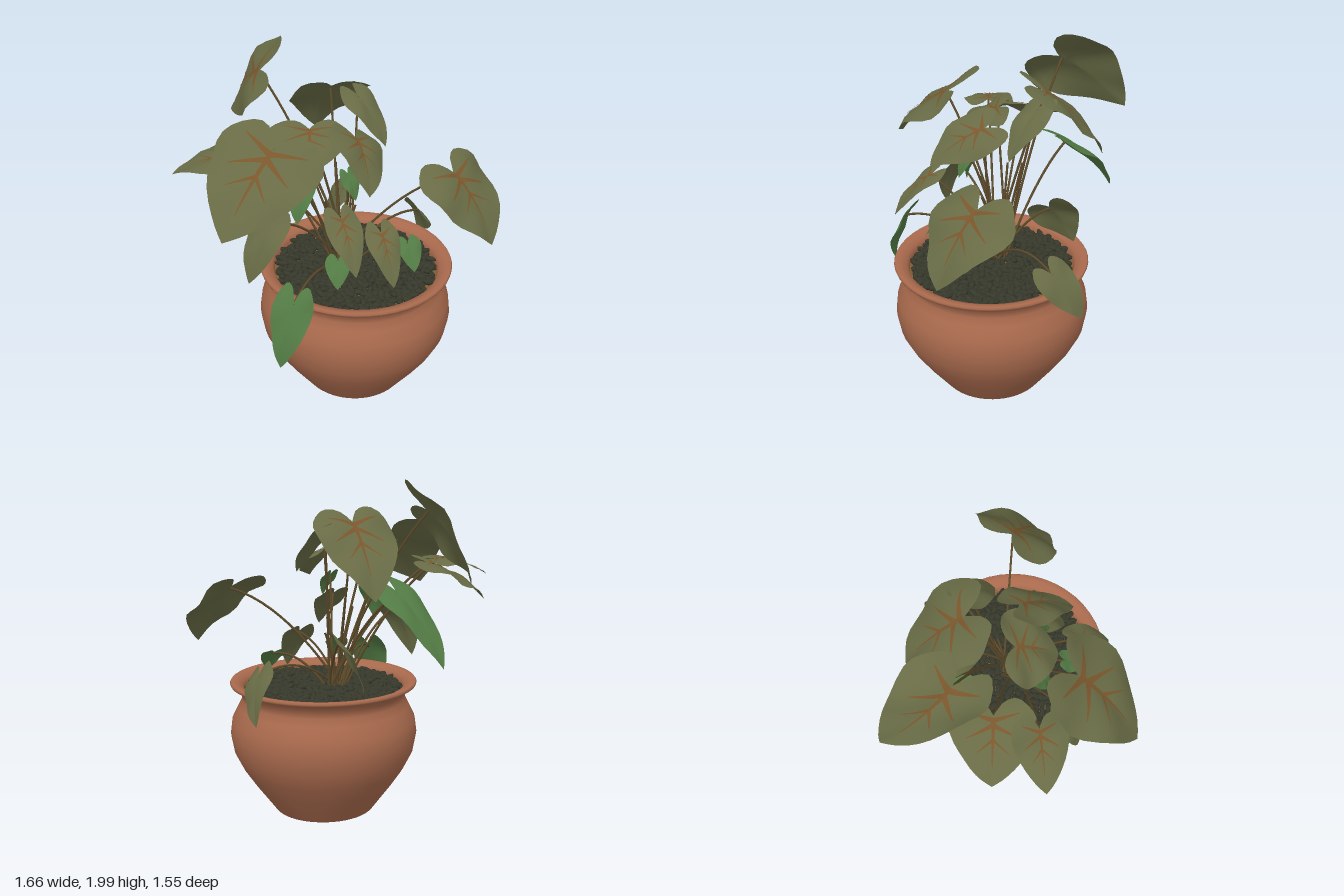
import * as THREE from 'three';
import { mergeGeometries } from 'three/addons/utils/BufferGeometryUtils.js';

const mat = (name, color, side = THREE.FrontSide) => {
  const m = new THREE.MeshStandardMaterial({ color, side });
  m.name = name;
  return m;
};

// Half outline of a heart-shaped leaf: (lateral, along), from notch to tip
const half = [[0, -0.02], [0.22, -0.2], [0.55, -0.26], [0.88, -0.1], [1, 0.12],
  [0.86, 0.4], [0.58, 0.66], [0.27, 0.87], [0, 1]];
const halfCurve = new THREE.SplineCurve(half.map((p) => new THREE.Vector2(...p))).getPoints(18);
const outline = [...halfCurve, ...halfCurve.slice(1, -1).reverse().map((p) => new THREE.Vector2(-p.x, p.y))];

// Returns a function mapping (lateral, along, lift) to a point on a curved blade.
// The blade faces as far up as its slope allows, then rolls about its midrib.
function bladeSurface([x0, y0, z0, x1, y1, z1, leafWidth, roll = 0], seed) {
  const b = new THREE.Vector3(x0, y0, z0), d = new THREE.Vector3(x1, y1, z1).sub(b), len = d.length();
  const width = leafWidth ?? 0.5 * len + 0.04;
  d.normalize();
  const side = new THREE.Vector3(0, 1, 0).cross(d).normalize().applyAxisAngle(d, roll);
  const n = d.clone().cross(side);
  return (l, s, lift = 0) => {
    const h = 0.28 * len * s * (1 - s) - width * 0.13 * l * l + width * 0.08 * Math.abs(l)
      + width * 0.05 * Math.sin(s * 8 + seed * 2 + l * 2) * Math.abs(l);
    return b.clone().addScaledVector(d, s * len).addScaledVector(side, l * width / 2)
      .addScaledVector(n, h + lift);
  };
}

function geometryFrom(points, index) {
  const g = new THREE.BufferGeometry().setFromPoints(points);
  g.setIndex(index);
  g.computeVertexNormals();
  return g;
}

// Blade made of rings growing from the middle to the heart outline
function bladeGeometry(at) {
  const rings = 5, N = outline.length, pts = [at(0, 0.1)], idx = [];
  for (let r = 1; r <= rings; r++)
    for (const p of outline) pts.push(at(p.x * r / rings, 0.1 + (p.y - 0.1) * r / rings));
  for (let i = 0; i < N; i++) {
    const j = (i + 1) % N;
    idx.push(0, 1 + i, 1 + j);
    for (let r = 0; r < rings - 1; r++) {
      const a = 1 + r * N + i, b = 1 + r * N + j;
      idx.push(a, a + N, b + N, a, b + N, b);
    }
  }
  return geometryFrom(pts, idx);
}

// Tapering strips lying just above the blade: a midrib and side veins
function veinGeometry(at) {
  const lines = [[0, 0, 0, 0.72, 0.05]];
  for (const m of [-1, 1]) lines.push([0, 0.04, m * 0.6, -0.08, 0.035], [0, 0.1, m * 0.6, 0.28, 0.035],
    [0, 0.3, m * 0.38, 0.5, 0.025]);
  return mergeGeometries(lines.map(([l0, s0, l1, s1, w]) => {
    const pts = [], idx = [], k = 6, dl = l1 - l0, ds = s1 - s0, q = Math.hypot(dl, ds);
    for (let i = 0; i <= k; i++) {
      const t = i / k, h = w * (1 - t * 0.85);
      for (const e of [-1, 1])
        pts.push(at(l0 + dl * t + e * h * ds / q, s0 + ds * t - e * h * dl / q, 0.004));
      if (i) idx.push(2 * i - 2, 2 * i - 1, 2 * i, 2 * i - 1, 2 * i + 1, 2 * i);
    }
    return geometryFrom(pts, idx);
  }));
}

// Each leaf: base x y z, tip x y z, then width and roll where needed
const veinedLeaves = [
  [-0.21, 1.82, -0.35, -0.17, 1.47, -0.77, 0.5, -1],
  [0.11, 1.75, -0.1, 0.19, 1.36, -0.43, 0.47],
  [-0.43, 1.63, 0.27, -0.8, 1.28, 0.44, 0.6, -0.3],
  [-0.54, 1.5, -0.03, -0.83, 1.4, -0.16, 0.3],
  [-0.36, 1.5, -0.2, -0.63, 1.29, -0.37, 0.46],
  [-0.12, 1.61, 0.08, -0.22, 1.46, 0.29, 0.46],
  [0.08, 1.58, 0.24, 0, 1.38, 0.53, 0.34, -0.5],
  [0.57, 1.36, 0.48, 0.67, 1.01, 0.74, 0.53],
  [-0.14, 1.26, 0.48, -0.17, 1.03, 0.7],
  [0.15, 1.06, 0.42, 0.13, 0.81, 0.6],
];
const plainLeaves = [
  [0.23, 1.71, -0.01, 0.3, 1.46, 0.19, 0.22],
  [0.62, 0.92, 0.08, 0.72, 0.67, -0.06, 0.22, 0.8],
  [-0.43, 1.18, 0.22, -0.58, 0.85, 0.24, 0.24, -0.3],
  [0.2, 1.09, -0.1, 0.16, 0.81, -0.28, 0.28, -0.8],
];
const youngLeaves = [
  [-0.04, 1.38, -0.31, -0.1, 1.0, -0.65, 0.28],
  [-0.46, 0.87, 0.55, -0.57, 0.52, 0.6, 0.22, -0.4],
  [-0.13, 0.97, 0.43, -0.18, 0.85, 0.52, 0.14],
  [0.33, 0.95, 0.42, 0.31, 0.82, 0.53, 0.15],
  [-0.2, 1.36, 0.15, -0.27, 1.13, 0.22],
  [0, 1.41, 0.3, 0.01, 1.28, 0.37],
];

export function createModel() {
  const model = new THREE.Group();
  const terracotta = mat('terracotta', 0xa96a4d, THREE.DoubleSide);
  const soilTan = mat('soil tan', 0x7d5c32);
  const stone = mat('dark stone', 0x36382b);
  const olive = mat('olive leaf', 0x686b45, THREE.DoubleSide);
  const green = mat('green leaf', 0x527a44, THREE.DoubleSide);
  const veinBrown = mat('vein brown', 0x7a562c, THREE.DoubleSide);
  const stemBrown = mat('stem brown', 0x5c4a2a);
  const add = (geo, m, name, parent) => {
    const mesh = new THREE.Mesh(geo, m);
    mesh.name = name;
    parent.add(mesh);
    return mesh;
  };

  // Pot, soil and pebbles share an off-centre axis
  const planter = new THREE.Group();
  planter.name = 'planter';
  planter.position.set(0.105, 0, 0.22);
  model.add(planter);
  const profile = [[0, 0], [0.297, 0], [0.303, 0.006], [0.35, 0.07], [0.42, 0.165], [0.49, 0.27], [0.54, 0.37],
    [0.56, 0.48], [0.548, 0.57], [0.51, 0.645], [0.488, 0.69], [0.492, 0.73], [0.525, 0.765], [0.553, 0.778],
    [0.557, 0.79], [0.55, 0.8], [0.52, 0.797], [0.485, 0.78], [0.472, 0.75], [0.47, 0.7]];
  add(new THREE.LatheGeometry(profile.map((p) => new THREE.Vector2(...p)), 48), terracotta, 'pot', planter);
  const soil = add(new THREE.CircleGeometry(0.475, 40), soilTan, 'soil', planter);
  soil.rotation.x = -Math.PI / 2;
  soil.position.y = 0.735;

  let seed = 7;
  const rnd = () => (seed = (seed * 16807) % 2147483647) / 2147483647;
  const pebbles = [];
  for (let i = 0; i < 560; i++) {
    const r = 0.455 * Math.sqrt((i + 0.5) / 560), a = i * 2.39996;
    const g = new THREE.SphereGeometry(1, 7, 5);
    g.scale(0.03 + rnd() * 0.012, 0.016, 0.016 + rnd() * 0.007);
    g.rotateZ((rnd() - 0.5) * 0.8).rotateY(rnd() * 6.28);
    g.translate(r * Math.cos(a), 0.745 + rnd() * 0.02, r * Math.sin(a));
    pebbles.push(g);
  }
  add(mergeGeometries(pebbles), stone, 'pebbles', planter);

  // Every leaf has a stem rising from the middle of the pot
  const addLeaf = (name, leaf, i, colour, veined) => {
    const group = new THREE.Group();
    group.name = name + (i + 1);
    model.add(group);
    const at = bladeSurface(leaf, i);
    add(bladeGeometry(at), colour, 'blade', group);
    if (veined) add(veinGeometry(at), veinBrown, 'veins', group);
    const end = at(0, 0.02, -0.003);
    const root = new THREE.Vector3(0.06 + 0.05 * Math.cos(i * 2.4), 0.73, 0.15 + 0.05 * Math.sin(i * 2.4));
    const bend = root.clone().lerp(end, 0.5);
    bend.y += 0.05 + 0.25 * Math.hypot(end.x - root.x, end.z - root.z);
    const path = new THREE.QuadraticBezierCurve3(root, bend, end);
    add(new THREE.TubeGeometry(path, 14, 0.007, 6), stemBrown, 'stem', group);
  };
  veinedLeaves.forEach((leaf, i) => addLeaf('veinedLeaf', leaf, i, olive, true));
  plainLeaves.forEach((leaf, i) => addLeaf('plainLeaf', leaf, i, olive, false));
  youngLeaves.forEach((leaf, i) => addLeaf('youngLeaf', leaf, i, green, false));

  // Short bare shoots among the stems
  for (let i = 0; i < 5; i++) {
    const a = i * 1.3, root = new THREE.Vector3(0.06, 0.73, 0.15);
    const end = new THREE.Vector3(0.02 + 0.13 * Math.cos(a), 1.1 + 0.06 * i, 0.13 + 0.13 * Math.sin(a));
    const mid = new THREE.Vector3(0.05 + 0.03 * Math.cos(a), 0.95, 0.14 + 0.03 * Math.sin(a));
    const path = new THREE.QuadraticBezierCurve3(root, mid, end);
    add(new THREE.TubeGeometry(path, 8, 0.007, 5), stemBrown, 'shoot' + (i + 1), model);
  }
  return model;
}
